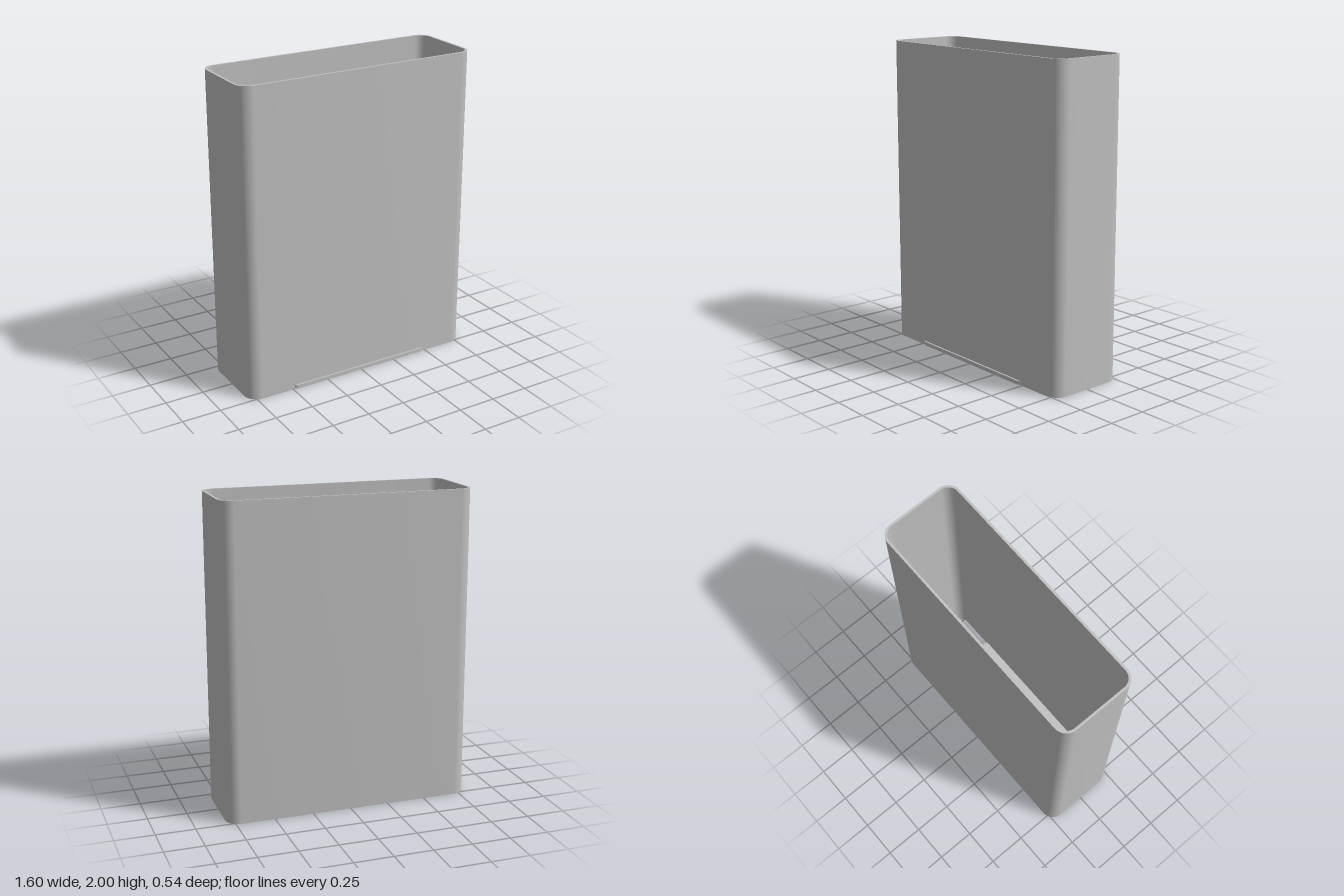
import * as THREE from 'three';
import { toCreasedNormals } from 'three/addons/utils/BufferGeometryUtils.js';

// Rounded rectangle centred on the origin, traced counter-clockwise
function roundedRect(target, width, depth, r) {
  const x = width / 2 - r, y = depth / 2 - r;
  target.absarc(x, y, r, 0, Math.PI / 2);
  target.absarc(-x, y, r, Math.PI / 2, Math.PI);
  target.absarc(-x, -y, r, Math.PI, Math.PI * 1.5);
  target.absarc(x, -y, r, Math.PI * 1.5, Math.PI * 2);
  target.closePath();
  return target;
}

// Upright extrusion standing on y = 0, smooth round the corners, sharp at the rims
function upright(shape, height, material, name, z) {
  const geometry = new THREE.ExtrudeGeometry(shape, { depth: height, bevelEnabled: false, curveSegments: 16 });
  geometry.rotateX(-Math.PI / 2);
  const mesh = new THREE.Mesh(toCreasedNormals(geometry, 0.5), material);
  mesh.name = name;
  mesh.position.z = z;
  return mesh;
}

export function createModel() {
  const group = new THREE.Group();
  group.name = 'openSleeve';
  const grey = new THREE.MeshStandardMaterial({ color: 0xc0c0c0 });
  grey.name = 'light grey';

  // Thin-walled sleeve, open at top and bottom
  const wall = 0.015, width = 1.6, depth = 0.525, radius = 0.085;
  const sleeve = roundedRect(new THREE.Shape(), width, depth, radius);
  sleeve.holes.push(roundedRect(new THREE.Path(), width - 2 * wall, depth - 2 * wall, radius - wall));
  group.add(upright(sleeve, 2, grey, 'sleeve', -0.0055));

  // Flat tab through the foot of the front wall
  const tab = roundedRect(new THREE.Shape(), 1, 0.128, 0.045);
  group.add(upright(tab, 0.025, grey, 'bottomTab', 0.204));

  return group;
}
